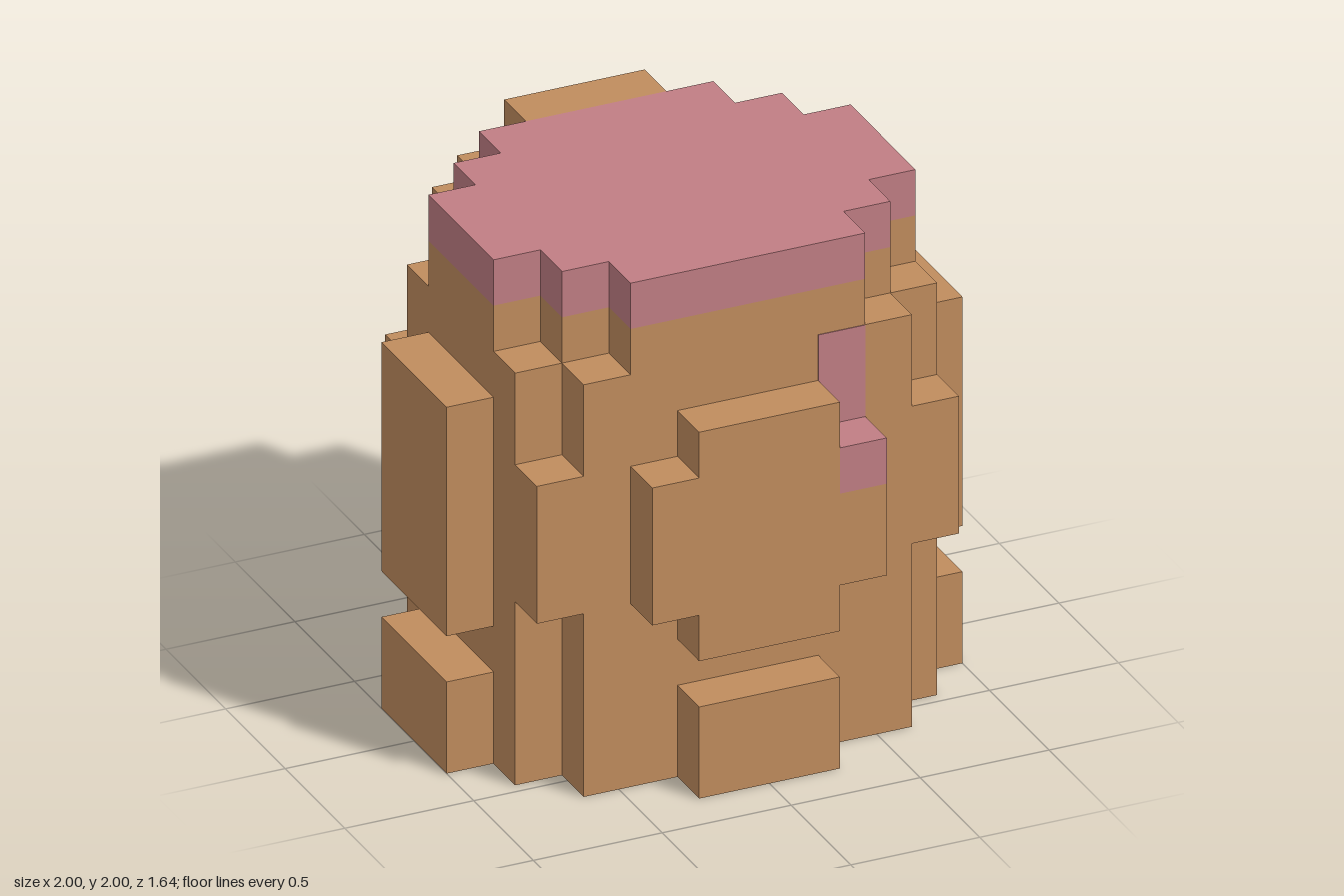
import * as THREE from 'three';

const U = 2 / 11; // edge of one block

const wood = new THREE.MeshStandardMaterial({ color: 0xc08c5e });
wood.name = 'tan wood';
const jam = new THREE.MeshStandardMaterial({ color: 0xc17e84 });
jam.name = 'pink filling';

export function createModel() {
  const group = new THREE.Group();
  group.name = 'blockBarrel';

  function add(name, geometry, material) {
    const mesh = new THREE.Mesh(geometry, material);
    mesh.name = name;
    group.add(mesh);
    return mesh;
  }

  // Box given by its limits in block units: x and z from the centre, y from the floor
  function block(name, [x0, x1], [y0, y1], [z0, z1], material = wood) {
    const g = new THREE.BoxGeometry((x1 - x0) * U, (y1 - y0) * U, (z1 - z0) * U);
    g.translate((x0 + x1) * U / 2, (y0 + y1) * U / 2, (z0 + z1) * U / 2);
    return add(name, g, material);
  }

  // Limits from a to b on the positive (s = 1) or negative (s = -1) side
  const span = (s, a, b) => (s > 0 ? [a, b] : [-b, -a]);

  // Stepped round footprint, one quadrant turned four times
  const quadrant = [[4.5, 1.5], [3.5, 1.5], [3.5, 2.5], [2.5, 2.5], [2.5, 3.5]];
  const mirrored = (sx, sy) => quadrant.map(([x, y]) => new THREE.Vector2(x * sx * U, y * sy * U));
  const footprint = new THREE.Shape([
    ...mirrored(1, 1), ...mirrored(-1, 1).reverse(),
    ...mirrored(-1, -1), ...mirrored(1, -1).reverse(),
  ]);
  function slab(name, y0, y1, material) {
    const g = new THREE.ExtrudeGeometry(footprint, { depth: (y1 - y0) * U, bevelEnabled: false });
    g.rotateX(-Math.PI / 2).translate(0, y0 * U, 0);
    add(name, g, material);
  }
  slab('barrelCore', 0, 10, wood);
  slab('fillingTop', 10, 11, jam);

  // Corner staves
  for (const sx of [-1, 1]) {
    for (const sz of [-1, 1]) {
      block('cornerStaveEnd', span(sx, 2.5, 3.5), [0, sz > 0 ? 9 : 10], span(sz, 2.5, 3.5));
      block('cornerStaveSide', span(sx, 3.5, 4.5), [0, 9], span(sz, 1.5, 2.5));
      block('cornerBulge', span(sx, 3.5, 4.5), [4, 7], span(sz, 2.5, 3.5));
    }
    // Side panels
    block('sidePanel', span(sx, 4.5, 5.5), [3, 8], [-1.5, 1.5]);
    block('sideFoot', span(sx, 4.5, 5.5), [0, 2], [-1.5, 1.5]);
    // Back panel wings
    block('backWing', span(sx, 1.5, 2.5), [4, 7], [-4.5, -3.5]);
    block('backUpperWing', span(sx, 1.5, 2.5), [8, 10], [-4.5, -3.5]);
  }

  // Front and back panels
  block('frontPanel', [-1.5, 1.5], [3, 8], [3.5, 4.5]);
  block('frontFoot', [-1.5, 1.5], [0, 2], [3.5, 4.5]);
  block('frontWingRight', [-2.5, -1.5], [4, 7], [3.5, 4.5]);
  block('frontWingLeft', [1.5, 2.5], [4, 6], [3.5, 4.5]);
  block('backPanel', [-1.5, 1.5], [3, 11], [-4.5, -3.5]);
  block('backFoot', [-1.5, 1.5], [0, 2], [-4.5, -3.5]);

  // Drip running down the front
  block('dripStreak', [1.5, 2.5], [7, 9], [3.49, 3.515], jam);
  block('dripEnd', [1.5, 2.5], [6, 7], [3.5, 4.5], jam);

  return group;
}
